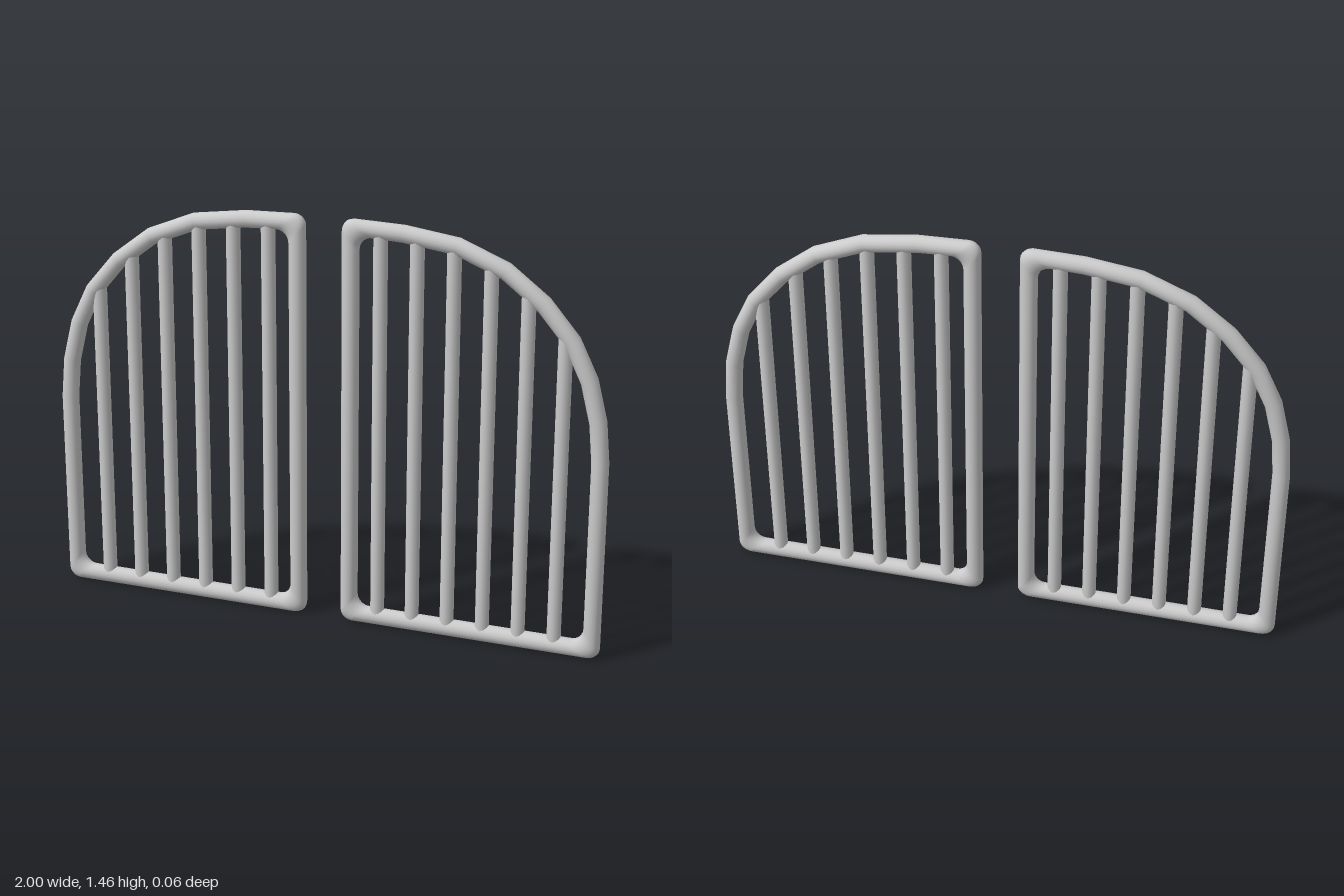
import * as THREE from 'three';

const R = 0.03; // frame tube radius
const SIDES = 16;

// Centre line of the arched edge, from the outer post up to the inner post
const ARCH = [[0.97, 0.71], [0.957, 0.85], [0.922, 0.99], [0.86, 1.117], [0.76, 1.234],
  [0.63, 1.333], [0.465, 1.4], [0.28, 1.425], [0.1, 1.43]];

// Stations round the frame: each pairs a point on the outer edge with one on the inner edge
function frameStations() {
  const stations = [];
  ARCH.slice(0, -1).forEach(([x, y], i) => {
    const a = ARCH[Math.max(i - 1, 0)], b = ARCH[i + 1];
    const n = i === 0 ? new THREE.Vector2(1, 0)
      : new THREE.Vector2(b[1] - a[1], a[0] - b[0]).normalize();
    const c = new THREE.Vector2(x, y);
    stations.push([c.clone().addScaledVector(n, R), c.clone().addScaledVector(n, -R)]);
  });
  // Three rounded corners: x, y, direction into the panel, start angle
  const ro = 0.04, ri = 0.045, steps = 5;
  for (const [x, y, sx, sy, start] of [
    [0.065, 1.46, 1, -1, 0.5], [0.065, 0, 1, 1, 1], [1, 0, -1, 1, 1.5]]) {
    for (let k = 0; k <= steps; k++) {
      const t = Math.PI * (start + 0.5 * k / steps);
      const point = (inset, r) => new THREE.Vector2(
        x + sx * (inset + r) + r * Math.cos(t), y + sy * (inset + r) + r * Math.sin(t));
      stations.push([point(0, ro), point(2 * R, ri)]);
    }
  }
  return stations;
}

// Closed sweep of elliptical rings spanning the outer and inner edges
function frameGeometry() {
  const stations = frameStations(), pos = [], index = [], n = stations.length;
  stations.forEach(([outer, inner], i) => {
    const mid = outer.clone().add(inner).multiplyScalar(0.5);
    const half = outer.clone().sub(mid);
    for (let j = 0; j < SIDES; j++) {
      const a = j / SIDES * Math.PI * 2;
      pos.push(mid.x + half.x * Math.cos(a), mid.y + half.y * Math.cos(a), R * Math.sin(a));
      const i2 = (i + 1) % n, j2 = (j + 1) % SIDES;
      const p = i * SIDES + j, q = i2 * SIDES + j, r = i * SIDES + j2, s = i2 * SIDES + j2;
      index.push(p, q, r, q, s, r);
    }
  });
  const g = new THREE.BufferGeometry();
  g.setAttribute('position', new THREE.Float32BufferAttribute(pos, 3));
  g.setIndex(index);
  g.computeVertexNormals();
  return g;
}

// Height of the arch centre line above x
function archHeight(x) {
  for (let i = 1; i < ARCH.length; i++) {
    const [x0, y0] = ARCH[i - 1], [x1, y1] = ARCH[i];
    if (x >= x1) return y0 + (y1 - y0) * (x - x0) / (x1 - x0);
  }
  return ARCH[ARCH.length - 1][1];
}

export function createModel() {
  const model = new THREE.Group();
  model.name = 'archedGate';
  const material = new THREE.MeshStandardMaterial({ color: 0xcccccc });
  const frameGeo = frameGeometry();

  for (const side of ['left', 'right']) {
    const leaf = new THREE.Group();
    leaf.name = side + 'Leaf';

    const frame = new THREE.Mesh(frameGeo, material);
    frame.name = 'frame';
    leaf.add(frame);

    // Upright bars ending inside the frame tube
    for (let i = 0; i < 6; i++) {
      const x = 0.2 + i * 0.1275, bottom = R, top = archHeight(x);
      const bar = new THREE.Mesh(
        new THREE.CylinderGeometry(0.025, 0.025, top - bottom, 12), material);
      bar.name = 'bar' + (i + 1);
      bar.position.set(x, (top + bottom) / 2, 0);
      leaf.add(bar);
    }

    // The leaf is the same front and back, so a half turn mirrors it
    if (side === 'right') leaf.rotation.y = Math.PI;
    model.add(leaf);
  }
  return model;
}
